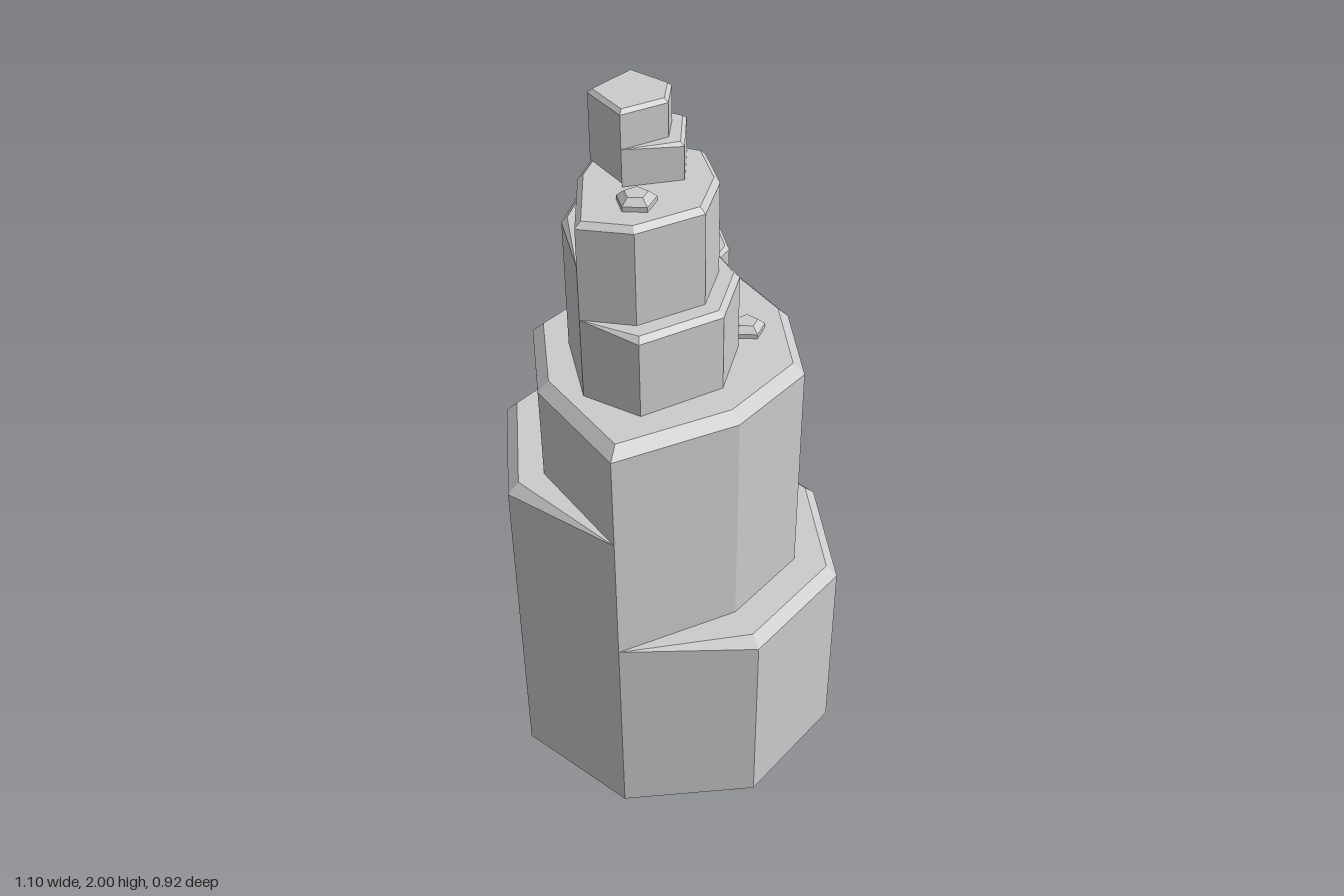
import * as THREE from 'three';

const material = new THREE.MeshStandardMaterial({ color: 0xcccccc, flatShading: true });

// Point where the two edges meeting at corner i cross after moving inward by d
function insetCorner(pts, i, d) {
  const n = pts.length;
  const p = pts[i], a = pts[(i + n - 1) % n], b = pts[(i + 1) % n];
  const normal = (s, e) => {
    const dx = e[0] - s[0], dz = e[1] - s[1], l = Math.hypot(dx, dz);
    return [dz / l, -dx / l];
  };
  const m = normal(a, p), k = normal(p, b);
  const s = d / (1 + m[0] * k[0] + m[1] * k[1]);
  return [p[0] + (m[0] + k[0]) * s, p[1] + (m[1] + k[1]) * s];
}

// Faceted stone with a bevelled top. Outline [x, z] runs left, front, right, back.
// A ledge keeps its first and last corners sharp, so its bevel tapers away there.
function stone(name, pts, y0, y1, bevel, isLedge = false) {
  const n = pts.length;
  const pinned = (i) => isLedge && (i === 0 || i === n - 1);
  const low = pts.map(([x, z]) => [x, y0, z]);
  const rim = pts.map(([x, z], i) => [x, pinned(i) ? y1 : y1 - bevel, z]);
  const top = pts.map((p, i) => {
    const [x, z] = pinned(i) ? p : insetCorner(pts, i, bevel);
    return [x, y1, z];
  });
  const pos = [];
  const tri = (...corners) => corners.forEach((c) => pos.push(...c));
  for (let i = 0; i < n; i++) {
    const j = (i + 1) % n;
    tri(low[i], low[j], rim[j]);
    tri(low[i], rim[j], rim[i]);
    if (!pinned(i) || !pinned(j)) {
      if (pinned(j)) tri(rim[i], rim[j], top[i]);
      else {
        tri(rim[i], rim[j], top[j]);
        if (!pinned(i)) tri(rim[i], top[j], top[i]);
      }
    }
    if (i > 0 && i < n - 1) {
      tri(top[0], top[i], top[j]);
      tri(low[0], low[j], low[i]);
    }
  }
  const geometry = new THREE.BufferGeometry();
  geometry.setAttribute('position', new THREE.Float32BufferAttribute(pos, 3));
  geometry.computeVertexNormals();
  const mesh = new THREE.Mesh(geometry, material);
  mesh.name = name;
  return mesh;
}

// A crag is a tall core with lower ledges around it
function crag(name, y0, core, ledges, bevel) {
  const group = new THREE.Group();
  group.name = name;
  group.add(stone('core', core.pts, y0 + 0.02, core.top, bevel));
  ledges.forEach((l) => group.add(stone(l.name, l.pts, y0, l.top, bevel, true)));
  return group;
}

function pebble(x, z, y) {
  const pts = [];
  for (let i = 0; i < 5; i++) {
    const a = Math.PI - (i * Math.PI * 2) / 5;
    pts.push([x + 0.052 * Math.cos(a), z + 0.052 * Math.sin(a)]);
  }
  return stone('pebble', pts, y - 0.01, y + 0.03, 0.017);
}

export function createModel() {
  const model = new THREE.Group();
  model.name = 'rockPillar';

  // Large octagonal bottom rock with a low front and a high back ledge
  model.add(crag('baseRock', 0,
    { top: 1.3, pts: [[-0.55, 0.19], [-0.23, 0.34], [0.05, 0.34], [0.25, 0.14],
      [0.36, -0.19], [0.05, -0.36], [-0.25, -0.36], [-0.45, -0.15]] },
    [
      { name: 'frontLedge', top: 0.615,
        pts: [[-0.55, 0.19], [-0.28, 0.46], [0.095, 0.46], [0.36, 0.19], [0.36, -0.19]] },
      { name: 'backLedge', top: 1.0,
        pts: [[0.36, -0.19], [0.095, -0.46], [-0.28, -0.46], [-0.55, -0.19], [-0.55, 0.19]] },
    ], 0.03));

  // Middle rock
  model.add(crag('middleRock', 1.29,
    { top: 1.8, pts: [[-0.415, -0.02], [-0.345, 0.105], [-0.165, 0.175], [-0.02, 0.105],
      [0.078, -0.02], [0.015, -0.2], [-0.07, -0.25], [-0.23, -0.18]] },
    [
      { name: 'frontLedge', top: 1.53,
        pts: [[-0.415, -0.02], [-0.39, 0.15], [-0.165, 0.235], [0.01, 0.15], [0.078, -0.02]] },
      { name: 'backLedge', top: 1.68,
        pts: [[0.078, -0.02], [0.04, -0.245], [-0.07, -0.305], [-0.26, -0.215], [-0.415, -0.02]] },
    ], 0.015));

  // Topmost rock
  model.add(crag('topRock', 1.79,
    { top: 2.0, pts: [[-0.21, -0.05], [-0.085, -0.005], [-0.005, -0.06], [-0.005, -0.195], [-0.165, -0.195]] },
    [{ name: 'frontLedge', top: 1.9,
      pts: [[-0.21, -0.05], [-0.085, 0.045], [0.04, -0.05], [-0.005, -0.195]] }], 0.01));

  // Small rock beside the middle one
  model.add(crag('shoulderRock', 1.29,
    { top: 1.55, pts: [[0.055, -0.215], [0.078, -0.018], [0.195, -0.08], [0.24, -0.13], [0.13, -0.275]] },
    [{ name: 'sideLedge', top: 1.435,
      pts: [[0.078, -0.018], [0.225, -0.05], [0.3, -0.14], [0.13, -0.275]] }], 0.012));

  // Small rock at the foot of the base
  model.add(crag('footRock', 0,
    { top: 0.42, pts: [[0.25, 0.0], [0.345, 0.175], [0.49, 0.065], [0.49, -0.065], [0.345, -0.175]] },
    [{ name: 'sideLedge', top: 0.23,
      pts: [[0.345, 0.175], [0.545, 0.118], [0.55, -0.105], [0.345, -0.175]] }], 0.017));

  // Pebbles lying on the flat tops
  [[-0.25, 0.03, 1.8], [0.085, 0.12, 1.3], [0.42, 0, 0.42]].forEach((p) => model.add(pebble(...p)));

  return model;
}
